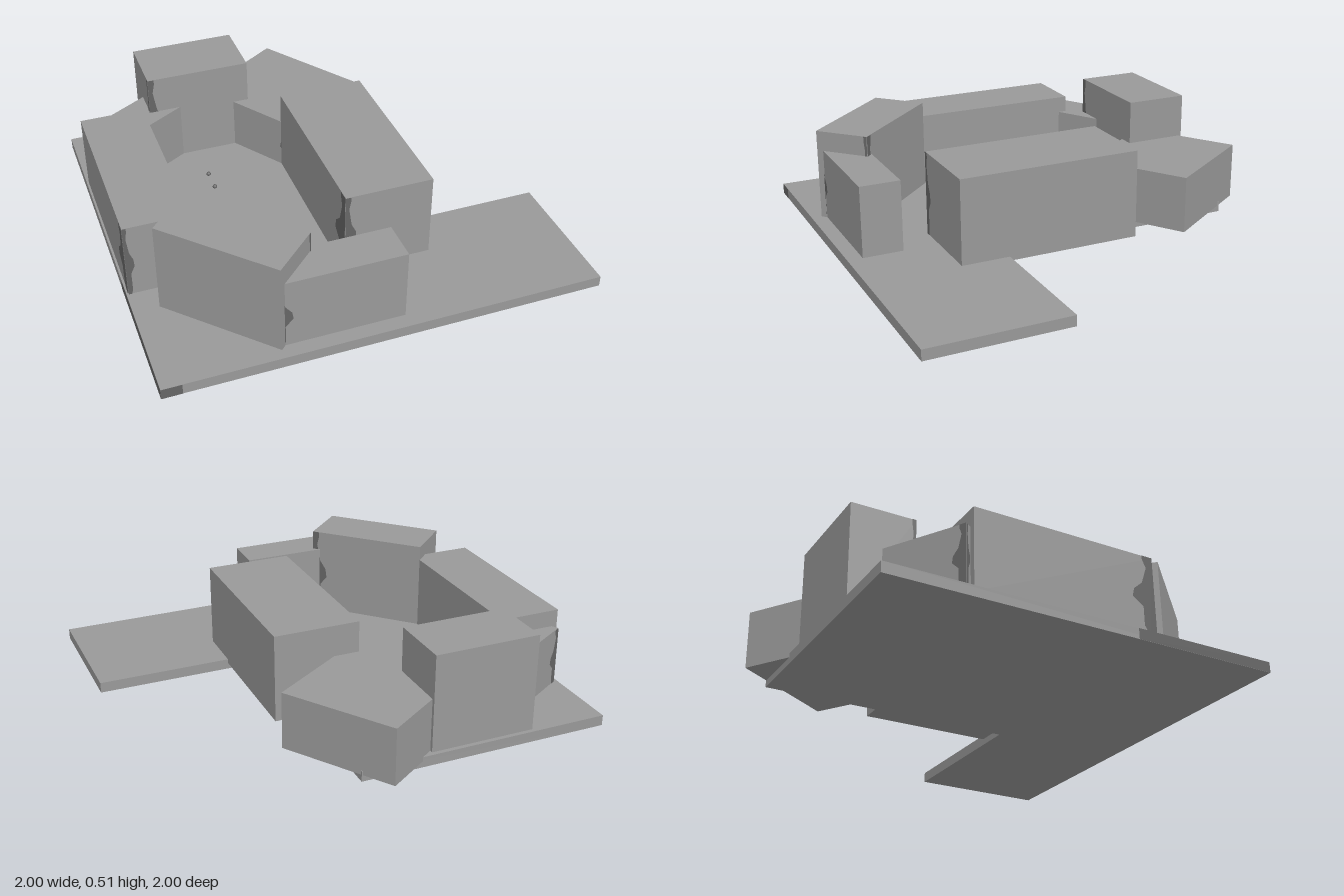
import * as THREE from 'three';

export function createModel() {
  const model = new THREE.Group();
  const concrete = new THREE.MeshStandardMaterial({ color: 0x999999 });
  concrete.name = 'grey concrete';
  const stain = new THREE.MeshStandardMaterial({ color: 0x666666 });
  stain.name = 'dark stain';

  // Wavy stain running down one vertical edge: [height share, width share]
  const profile = [[0, 0.04], [0.12, 0.07], [0.35, 0.07], [0.45, 0.13], [0.55, 0.12],
    [0.65, 0.07], [0.85, 0.04], [0.95, 0.06], [1, 0.06]];
  function stainPlate(width, height, mirrored) {
    const s = mirrored ? -1 : 1;
    const shape = new THREE.Shape();
    shape.moveTo(0, 0);
    profile.forEach(([h, w]) => shape.lineTo(s * w * width, h * height));
    shape.lineTo(0, height);
    const mesh = new THREE.Mesh(new THREE.ShapeGeometry(shape), stain);
    mesh.name = 'edgeStain';
    return mesh;
  }

  // Block with a stain wrapped around its local -x, +z corner
  function block(name, x, z, w, d, bottom, top, angle = 0) {
    const h = top - bottom;
    const group = new THREE.Group();
    group.name = name;
    const body = new THREE.Mesh(new THREE.BoxGeometry(w, h, d), concrete);
    body.name = name + 'Body';
    body.position.y = h / 2;
    const front = stainPlate(w, h, false);
    front.position.set(-w / 2, 0, d / 2 + 0.002);
    const side = stainPlate(d, h, true);
    side.rotation.y = -Math.PI / 2;
    side.position.set(-w / 2 - 0.002, 0, d / 2);
    group.add(body, front, side);
    group.position.set(x, bottom, z);
    group.rotation.y = angle;
    model.add(group);
  }

  // L-shaped ground slab
  const outline = new THREE.Shape([[-1, -1], [1, -1], [1, -0.34], [0.2, -0.34], [0.2, 0.87], [-1, 0.87]]
    .map(([x, y]) => new THREE.Vector2(x, y)));
  const slabGeometry = new THREE.ExtrudeGeometry(outline, { depth: 0.05, bevelEnabled: false });
  slabGeometry.rotateX(-Math.PI / 2);
  const slab = new THREE.Mesh(slabGeometry, concrete);
  slab.name = 'groundSlab';
  model.add(slab);

  // Stains on the slab corner
  const slabFront = new THREE.Mesh(new THREE.PlaneGeometry(0.09, 0.05), stain);
  slabFront.name = 'slabFrontStain';
  slabFront.position.set(-0.955, 0.025, 1.001);
  const slabSide = new THREE.Mesh(new THREE.PlaneGeometry(0.7, 0.05), stain);
  slabSide.name = 'slabSideStain';
  slabSide.rotation.y = -Math.PI / 2;
  slabSide.position.set(-1.001, 0.025, 0.65);
  model.add(slabFront, slabSide);

  // Ring of building blocks
  block('rightWing', -0.84, -0.035, 0.3, 0.87, 0.03, 0.41);
  block('leftWing', 0.155, 0.135, 0.41, 0.87, 0.03, 0.45);
  block('backTower', -0.39, -0.7, 0.5, 0.3, 0.03, 0.51);
  block('backLeftBlock', 0.048, -0.621, 0.518, 0.563, 0.03, 0.3, 0.584);
  block('backRightLink', -0.717, -0.535, 0.208, 0.488, 0.03, 0.33, -1.035);
  block('frontRightBlock', -0.582, 0.645, 0.594, 0.265, 0.03, 0.48, 2.332);
  block('frontBlock', -0.2, 0.835, 0.58, 0.19, 0.03, 0.385);

  // Two small courtyard knobs
  [-0.33, -0.22].forEach((z) => {
    const knob = new THREE.Mesh(new THREE.SphereGeometry(0.011, 12, 8), stain);
    knob.name = 'courtyardKnob';
    knob.position.set(-0.42, 0.055, z);
    model.add(knob);
  });

  return model;
}
